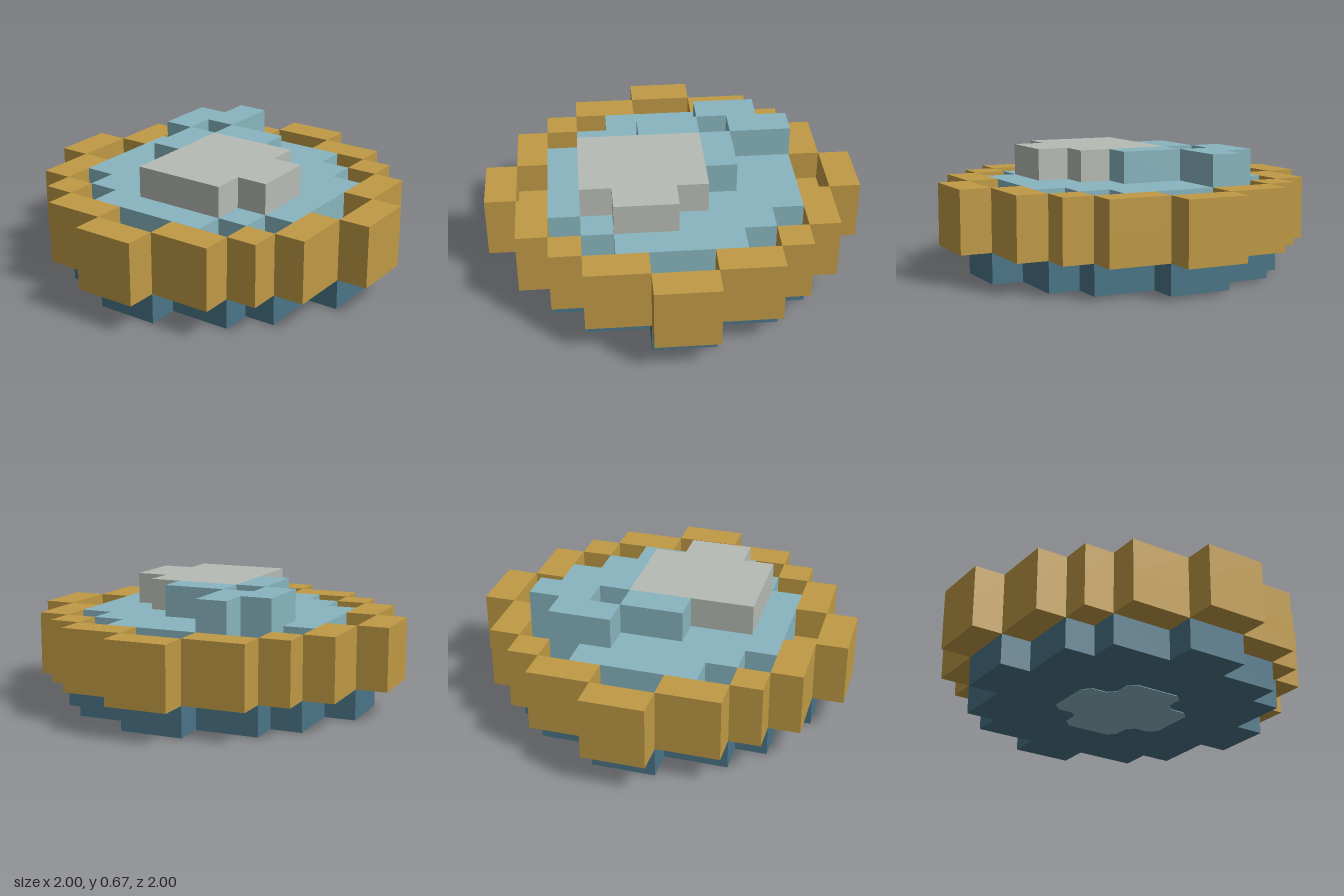
import * as THREE from 'three';

const U = 1 / 6; // one block

// Full closed outline from the corner points of one quarter
function mirrored(q) {
  const r = q.slice().reverse();
  return [
    ...q,
    ...r.map(([x, z]) => [-x, z]),
    ...q.map(([x, z]) => [-x, -z]),
    ...r.map(([x, z]) => [x, -z]),
  ];
}

const toPoints = (pts) => pts.map(([x, z]) => new THREE.Vector2(x * U, z * U));

// Upright slab over an (x, z) outline between two heights
function slab(outline, y0, y1, hole) {
  const shape = new THREE.Shape(toPoints(outline));
  if (hole) shape.holes.push(new THREE.Path(toPoints(hole)));
  const geo = new THREE.ExtrudeGeometry(shape, { depth: (y1 - y0) * U, bevelEnabled: false });
  geo.rotateX(Math.PI / 2);
  geo.translate(0, y1 * U, 0);
  return geo;
}

export function createModel() {
  const model = new THREE.Group();
  const material = (name, color) => {
    const m = new THREE.MeshStandardMaterial({ color });
    m.name = name;
    return m;
  };
  const gold = material('gold', 0xc09a45);
  const lightBlue = material('light blue', 0x88b5bf);
  const darkBlue = material('dark blue', 0x4a7587);
  const grey = material('warm grey', 0xb6bbb4);

  const add = (name, geo, mat, parent = model) => {
    const mesh = new THREE.Mesh(geo, mat);
    mesh.name = name;
    parent.add(mesh);
  };

  const rimOutline = mirrored([[6, 1], [5, 1], [5, 3], [4, 3], [4, 4], [3, 4], [3, 5], [1, 5], [1, 6]]);
  const baseOutline = mirrored([[5, 1], [4, 1], [4, 3], [3, 3], [3, 4], [1, 4], [1, 5]]);
  const discOutline = mirrored([[4, 2], [3, 2], [3, 3], [2, 3], [2, 4]]);

  // Base with a rounded cross inlaid underneath
  add('base', slab(baseOutline, 0.02, 1), darkBlue);
  const c = 0.25;
  const cross = mirrored([
    [2, 1 - c], [2 - c, 1], [1 + c, 1], [1, 1 + c], [1, 2 - c], [1 - c, 2],
  ]);
  add('undersideCross', slab(cross, 0, 0.02), lightBlue);

  // Central disc and the lower band of the rim around it
  add('disc', slab(discOutline, 1, 3), lightBlue);
  add('rimBand', slab(rimOutline, 1, 2, discOutline), gold);

  // Raised blocks of the rim: [x0, x1, z0, z1]
  const rim = new THREE.Group();
  rim.name = 'rimBlocks';
  model.add(rim);
  const block = ([x0, x1, z0, z1]) => {
    const geo = new THREE.BoxGeometry((x1 - x0) * U, U, (z1 - z0) * U);
    geo.translate((x0 + x1) / 2 * U, 2.5 * U, (z0 + z1) / 2 * U);
    add('rimBlock', geo, gold, rim);
  };
  for (const s of [1, -1]) {
    const span = (a, b, k) => (k > 0 ? [a, b] : [-b, -a]);
    block([-1, 1, ...span(5, 6, s)]);
    block([...span(5, 6, s), -1, 1]);
    for (const t of [1, -1]) {
      block([...span(1, 3, s), ...span(4, 5, t)]);
      block([...span(3, 4, s), ...span(3, 4, t)]);
      block([...span(4, 5, s), ...span(1, 3, t)]);
    }
  }

  // Raised grey patch
  add('greyPatch', slab([
    [-3, -1], [1, -1], [1, 2], [0, 2], [0, 3], [-2, 3], [-2, 2], [-3, 2],
  ], 3, 4), grey);

  // Raised blue patches around a one-block gap
  add('bluePatchBack', slab([[-1, -2], [1, -2], [1, -1], [-1, -1]], 3, 4), lightBlue);
  add('bluePatchSide', slab([[1, -1], [2, -1], [2, 1], [1, 1]], 3, 4), lightBlue);
  add('bluePatchCorner', slab([
    [1, -3], [3, -3], [3, -2], [4, -2], [4, -1], [2, -1], [2, -2], [1, -2],
  ], 3, 4), lightBlue);

  return model;
}
